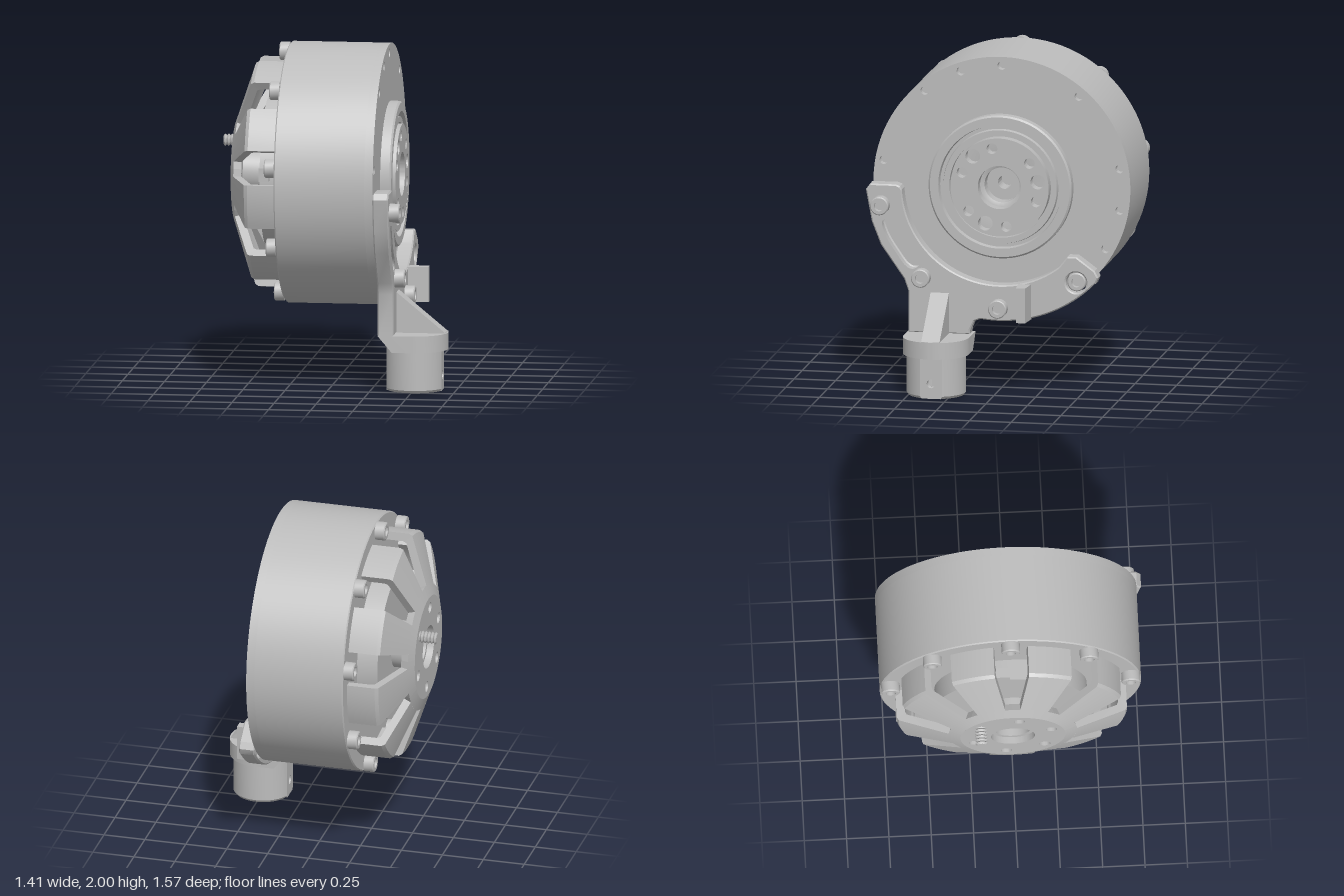
import * as THREE from 'three';
import { toCreasedNormals } from 'three/addons/utils/BufferGeometryUtils.js';

const CY = 1.228, CZ = -0.01; // drum axis, running along x
const rad = THREE.MathUtils.degToRad;
const metal = new THREE.MeshStandardMaterial({ color: 0xbcbcbc, side: THREE.DoubleSide });
metal.name = 'light grey metal';

function part(group, name, geometry, x = 0, y = 0, z = 0) {
  const mesh = new THREE.Mesh(geometry, metal);
  mesh.name = name;
  mesh.position.set(x, y, z);
  group.add(mesh);
  return mesh;
}

// Profile of [radius, x] pairs turned around the x axis
function turned(profile, segments = 96) {
  const g = new THREE.LatheGeometry(profile.map(p => new THREE.Vector2(...p)), segments);
  return toCreasedNormals(g.rotateZ(-Math.PI / 2), 0.5);
}

// Shape drawn in (-z, y), pushed along +x from x0 to x1
function plate(shape, x0, x1, bevel = 0) {
  const g = new THREE.ExtrudeGeometry(shape, {
    depth: x1 - x0 - 2 * bevel, curveSegments: 48, bevelEnabled: bevel > 0,
    bevelSize: bevel, bevelThickness: bevel, bevelOffset: -bevel, bevelSegments: 1,
  });
  return toCreasedNormals(g.translate(0, 0, x0 + bevel).rotateY(Math.PI / 2), 0.4);
}

function circle(r, u = 0, v = 0) {
  return new THREE.Path().absarc(u, v, r, 0, Math.PI * 2, false);
}

// Round disc with a bore and small holes given as [radius, u, v]
function drilledDisc(outer, bore, holes, x0, x1) {
  const s = new THREE.Shape().absarc(0, 0, outer, 0, Math.PI * 2, false);
  s.holes.push(circle(bore), ...holes.map(h => circle(...h)));
  return plate(s, x0, x1);
}

// Position on a circle around the drum axis, angle measured from the top towards +z
const around = (r, deg) => [CY + r * Math.cos(rad(deg)), CZ + r * Math.sin(rad(deg))];

// One arm of the rear cover: stations are [outer r, outer x, inner r, inner x, half angle]
function coverArm() {
  const half = (r, w) => rad(20) - Math.asin(w / r);
  const stations = [
    [0.31, -0.6, 0.31, -0.55, rad(20)],
    [0.38, -0.575, 0.36, -0.53, rad(20)],
    [0.38, -0.575, 0.36, -0.53, half(0.38, 0.045)],
    [0.668, -0.475, 0.62, -0.44, half(0.668, 0.1)],
    [0.68, -0.455, 0.63, -0.42, half(0.68, 0.102)],
    [0.68, -0.28, 0.63, -0.28, half(0.68, 0.102)],
  ];
  const N = 8, pos = [];
  const at = (i, j, inner) => {
    const s = stations[i], t = s[4] * (2 * j / N - 1), r = s[inner ? 2 : 0];
    return [s[inner ? 3 : 1], r * Math.cos(t), r * Math.sin(t)];
  };
  const quad = (a, b, c, d) => pos.push(...a, ...b, ...c, ...a, ...c, ...d);
  for (let i = 0; i < stations.length - 1; i++) {
    for (let j = 0; j < N && i !== 1; j++) {
      quad(at(i, j), at(i, j + 1), at(i + 1, j + 1), at(i + 1, j));
      quad(at(i, j, 1), at(i + 1, j, 1), at(i + 1, j + 1, 1), at(i, j + 1, 1));
    }
    if (i === 0) continue;
    quad(at(i, N), at(i, N, 1), at(i + 1, N, 1), at(i + 1, N));
    quad(at(i, 0), at(i + 1, 0), at(i + 1, 0, 1), at(i, 0, 1));
  }
  const g = new THREE.BufferGeometry();
  g.setAttribute('position', new THREE.Float32BufferAttribute(pos, 3));
  return toCreasedNormals(g, 0.35);
}

export function createModel() {
  const model = new THREE.Group();
  model.name = 'wheelMotor';

  // Drum with rear core, raised bearing ring and stepped bore
  part(model, 'drum', turned([
    [0, -0.41], [0.45, -0.41], [0.45, -0.285], [0.765, -0.285], [0.772, -0.278], [0.772, 0.255],
    [0.43, 0.255], [0.43, 0.36], [0.42, 0.37], [0.37, 0.37], [0.365, 0.335], [0.345, 0.335], [0.34, 0.36],
    [0.305, 0.36], [0.305, 0.31], [0.13, 0.31], [0.105, 0.3], [0.105, 0.22], [0.04, 0.22], [0.04, 0.1], [0, 0.1],
  ]), 0, CY, CZ);

  // Drum end plate with its ring of bolt holes
  const rimAngles = [0, 20, 40, 80, 100, 140, 180, -140, -120, -100, -80, -40];
  const rimHoles = rimAngles.map(a => [0.026, -0.72 * Math.sin(rad(a)), 0.72 * Math.cos(rad(a))]);
  part(model, 'endPlate', drilledDisc(0.772, 0.43, rimHoles, 0.255, 0.305), 0, CY, CZ);

  // Output flange with three large and six small holes, as [radius, y, z]
  const flangeHoles = [
    [0.044, 1.41, 0.15], [0.044, 1.27, -0.24], [0.044, 1.01, 0.075], [0.032, 1.46, 0.035], [0.032, 1.38, -0.19],
    [0.032, 1.15, -0.23], [0.032, 0.995, -0.05], [0.032, 1.08, 0.175], [0.032, 1.31, 0.215],
  ].map(([r, y, z]) => [r, CZ - z, y - CY]);
  part(model, 'outputFlange', drilledDisc(0.295, 0.13, flangeHoles, 0.31, 0.38), 0, CY, CZ);

  // Rear cover: drilled hub, stepped bore and nine arms
  const hubHoles = [1, 2, 3, 4, 5].map(k => {
    const a = rad(-51 + 60 * k);
    return [0.033, -0.243 * Math.sin(a), 0.243 * Math.cos(a)];
  });
  part(model, 'coverHub', drilledDisc(0.31, 0.13, hubHoles, -0.6, -0.55), 0, CY, CZ);
  part(model, 'coverBore', turned([[0.14, -0.41], [0.14, -0.56], [0.105, -0.56], [0.105, -0.41]], 48), 0, CY, CZ);
  const arm = coverArm();
  for (let k = 0; k < 9; k++) part(model, 'coverArm', arm, 0, CY, CZ).rotation.x = rad(20 + 40 * k);

  // Threaded stud on the hub
  const thread = [[0, -0.705]];
  for (let i = 0; i < 9; i++) thread.push([0.027, -0.705 + i * 0.02], [0.037, -0.695 + i * 0.02]);
  thread.push([0, -0.52]);
  part(model, 'threadedStud', turned(thread, 20), 0, ...around(0.243, -51));

  // Small connectors inside the cover slots
  part(model, 'connector', new THREE.BoxGeometry(0.06, 0.08, 0.08), -0.38, 1.28, 0.45);
  part(model, 'connector', new THREE.BoxGeometry(0.06, 0.08, 0.08), -0.38, 1.68, -0.06);

  // Socket-head bolts: nine behind, three on the bracket and one sunk into it
  const bolt = turned([[0, 0], [0.055, 0], [0.055, 0.054], [0.049, 0.06], [0.03, 0.06], [0.03, 0.025], [0, 0.025]], 24);
  for (let k = 0; k < 9; k++) part(model, 'rearBolt', bolt, -0.285, ...around(0.72, 40 * k)).rotation.z = Math.PI;
  for (const a of [100, 140, 180]) part(model, 'bracketBolt', bolt, 0.4, ...around(0.72, a));
  part(model, 'sunkBolt', bolt, 0.325, ...around(0.72, -140));

  // Curved bracket plate with a slot in its long arm
  const b = new THREE.Shape();
  b.moveTo(-0.575, 1.2);
  b.absarc(-CZ, CY, 0.585, rad(183), rad(308), false);
  for (const p of [[0.42, 0.83], [0.475, 0.83], [0.585, 0.75], [0.605, 0.71], [0.59, 0.672]]) b.lineTo(...p);
  b.absarc(-CZ, CY, 0.8, rad(316), rad(262), true);
  for (const p of [[-0.14, 0.42], [-0.163, 0.37], [-0.165, 0.34], [-0.535, 0.34], [-0.535, 0.59], [-0.56, 0.66],
    [-0.7, 0.86], [-0.755, 1.0], [-0.79, 1.19], [-0.765, 1.225], [-0.61, 1.225], [-0.585, 1.215]]) b.lineTo(...p);
  const slot = [[-0.7, 1.0], [-0.675, 1.025], [-0.63, 1.02], [-0.605, 0.98], [-0.545, 0.87], [-0.47, 0.785],
    [-0.465, 0.74], [-0.5, 0.715], [-0.545, 0.725], [-0.62, 0.82], [-0.68, 0.92]].map(p => new THREE.Vector3(...p, 0));
  const slotPoints = new THREE.CatmullRomCurve3(slot, true).getPoints(32).slice(0, 32);
  b.holes.push(new THREE.Path(slotPoints.map(p => new THREE.Vector2(p.x, p.y))));
  const [sunkY, sunkZ] = around(0.72, -140);
  b.holes.push(circle(0.062, -sunkZ, sunkY));
  part(model, 'bracketPlate', plate(b, 0.305, 0.4, 0.008));

  // Stop fin, tapered outwards
  const fin = new THREE.BoxGeometry(0.13, 0.21, 0.055);
  const fp = fin.attributes.position;
  for (let i = 0; i < fp.count; i++) if (fp.getX(i) < 0) fp.setZ(i, fp.getZ(i) * 1.45);
  fin.computeVertexNormals();
  part(model, 'stopFin', fin, 0.455, 0.55, -0.163);

  // Gusset rib from the plate down to the collar
  const rib = new THREE.Shape([[0.39, 0.3], [0.69, 0.3], [0.69, 0.345], [0.4, 0.585], [0.39, 0.585]]
    .map(p => new THREE.Vector2(...p)));
  part(model, 'gussetRib', new THREE.ExtrudeGeometry(rib, { depth: 0.11, bevelEnabled: false }), 0, 0, 0.29);

  // D-shaped collar, its back lower edge cut at a slant
  const d = new THREE.Shape();
  d.moveTo(0.305, -0.197);
  d.lineTo(0.505, -0.197);
  d.absarc(0.505, 0, 0.197, -Math.PI / 2, Math.PI / 2, false);
  d.lineTo(0.305, 0.197);
  const collar = new THREE.ExtrudeGeometry(d, { depth: 0.1, bevelEnabled: false, curveSegments: 32 });
  collar.rotateX(-Math.PI / 2);
  const cp = collar.attributes.position;
  for (let i = 0; i < cp.count; i++) if (cp.getY(i) < 0.05 && cp.getX(i) < 0.39) cp.setX(i, 0.39);
  part(model, 'collar', toCreasedNormals(collar, 0.4), 0, 0.243, 0.345);

  // Hollow socket: two part-round walls joined by flat panels with a cross hole
  const R = 0.176, step = rad(22);
  const wall = [[0.125, 0.26], [0.125, 0.02], [0.14, 0], [0.165, 0], [R, 0.015], [R, 0.26]]
    .map(p => new THREE.Vector2(...p));
  const w = R * Math.sin(step);
  const panel = new THREE.Shape([[0.008 - w, 0], [w - 0.008, 0], [w, 0.015], [w, 0.25], [-w, 0.25], [-w, 0.015]]
    .map(p => new THREE.Vector2(...p)));
  panel.holes.push(circle(0.026, 0, 0.09));
  for (const side of [0, 1]) {
    const half = new THREE.LatheGeometry(wall, 24, Math.PI / 2 + step + side * Math.PI, Math.PI - 2 * step);
    part(model, 'socketWall', toCreasedNormals(half, 0.5), 0.505, 0, 0.345);
    const face = part(model, 'socketPanel', plate(panel, 0.115, R * Math.cos(step)), 0.505, 0, 0.345);
    face.rotation.y = side * Math.PI;
  }
  return model;
}
